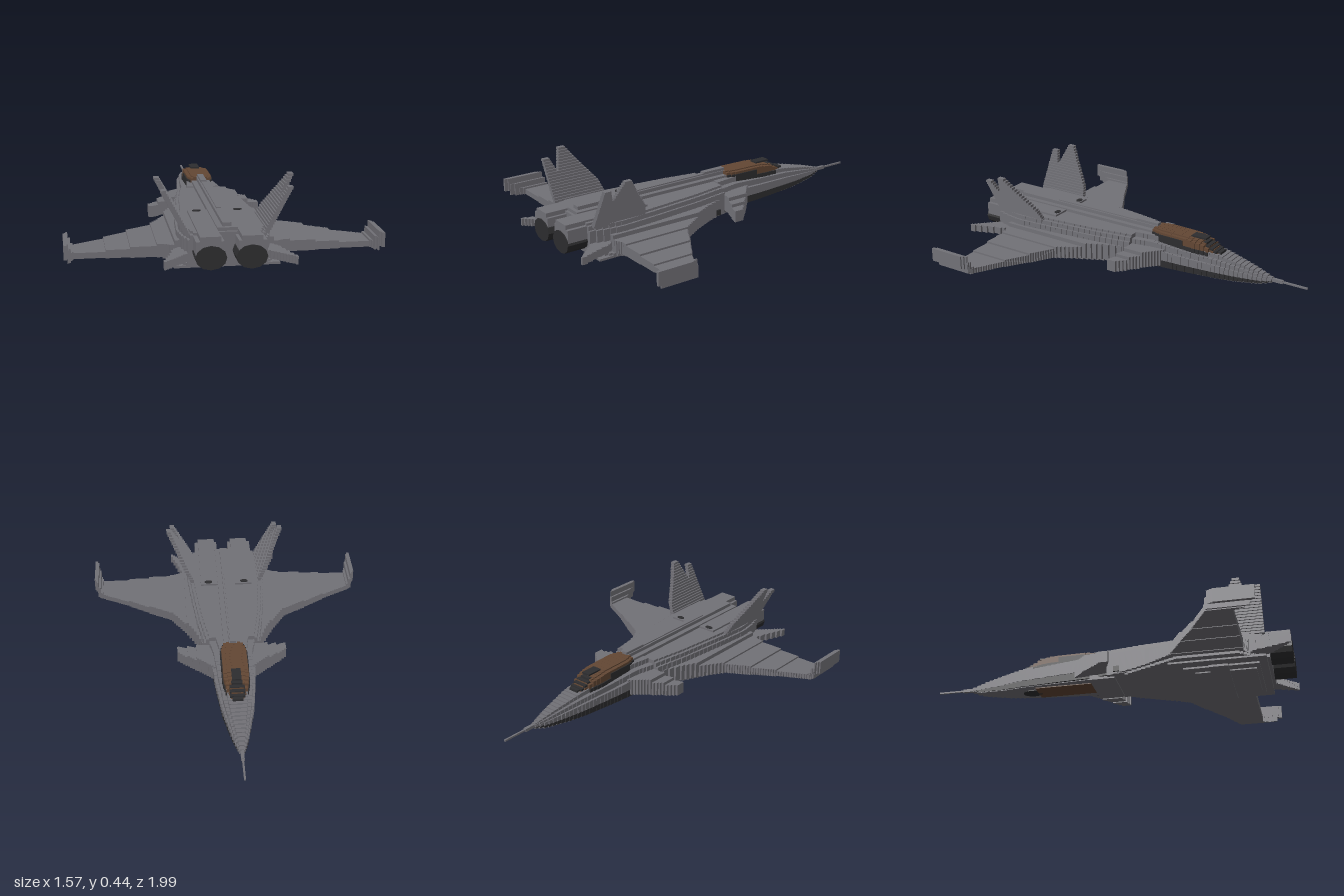
import * as THREE from 'three';

const mat = (name, color) => {
  const m = new THREE.MeshStandardMaterial({ color, flatShading: true });
  m.name = name;
  return m;
};

// Straight-line interpolation through [position, value] points
const curve = (pts) => (t) => {
  if (t <= pts[0][0]) return pts[0][1];
  for (let i = 1; i < pts.length; i++) {
    const [a, va] = pts[i - 1], [b, vb] = pts[i];
    if (t <= b) return va + ((vb - va) * (t - a)) / (b - a);
  }
  return pts[pts.length - 1][1];
};

export function createModel() {
  const grey = mat('airframe grey', 0x727177);
  const dark = mat('dark trim', 0x2d2d2f);
  const brown = mat('tinted canopy', 0x634734);
  const root = new THREE.Group();
  root.name = 'jetAircraft';

  const part = (name) => {
    const g = new THREE.Group();
    g.name = name;
    root.add(g);
    return g;
  };
  const box = (parent, name, m, x0, x1, y0, y1, z0, z1) => {
    const mesh = new THREE.Mesh(new THREE.BoxGeometry(x1 - x0, y1 - y0, z1 - z0), m);
    mesh.position.set((x0 + x1) / 2, (y0 + y1) / 2, (z0 + z1) / 2);
    mesh.name = name;
    parent.add(mesh);
  };
  // Plate with a stair-stepped outline between a leading and a trailing edge
  const slab = (parent, name, m, side, x0, x1, y0, y1, lead, trail, step = 0.0125) => {
    const n = Math.max(1, Math.round((x1 - x0) / step));
    const front = [], back = [];
    for (let i = 0; i < n; i++) {
      const a = x0 + ((x1 - x0) * i) / n, b = x0 + ((x1 - x0) * (i + 1)) / n, c = (a + b) / 2;
      for (const x of [a, b]) {
        front.push(new THREE.Vector2(side * x, -lead(c)));
        back.unshift(new THREE.Vector2(side * x, -trail(c)));
      }
    }
    const geo = new THREE.ExtrudeGeometry(new THREE.Shape([...front, ...back]), { depth: y1 - y0, bevelEnabled: false });
    geo.rotateX(-Math.PI / 2).translate(0, y0, 0);
    const mesh = new THREE.Mesh(geo, m);
    mesh.name = name;
    parent.add(mesh);
  };
  const flat = (v) => () => v;

  // Nose and forward fuselage: stepped slices, with a dark lower flank
  const nose = part('forwardFuselage');
  const halfW = curve([[-0.8, 0.014], [-0.7, 0.042], [-0.6, 0.063], [-0.5, 0.085], [-0.3, 0.108], [-0.1, 0.125], [0, 0.15]]);
  const topY = curve([[-0.8, 0.102], [-0.7, 0.13], [-0.6, 0.152], [-0.5, 0.172], [-0.35, 0.185], [-0.12, 0.205], [0, 0.205]]);
  const botY = curve([[-0.8, 0.08], [-0.74, 0.062], [-0.6, 0.05], [-0.3, 0.046], [0, 0.044]]);
  const dz = 0.025;
  for (let i = 0; i < 32; i++) {
    const z = -0.8 + i * dz, c = z + dz / 2;
    const w = halfW(c), t = topY(c), b = botY(c), h = t - b, mid = b + h * 0.3;
    box(nose, 'lowerFlank', dark, -w * 0.96, w * 0.96, b + 0.004, mid, z, z + dz);
    box(nose, 'belly', grey, -w * 0.88, w * 0.88, b, b + 0.01, z, z + dz);
    box(nose, 'flank', grey, -w, w, mid, b + h * 0.62, z, z + dz);
    box(nose, 'shoulder', grey, -w * 0.85, w * 0.85, mid, b + h * 0.83, z, z + dz);
    box(nose, 'deck', grey, -w * 0.6, w * 0.6, mid, t, z, z + dz);
  }
  box(nose, 'pitotBase', grey, -0.009, 0.009, 0.083, 0.1, -0.86, -0.79);
  box(nose, 'pitotProbe', grey, -0.005, 0.005, 0.087, 0.096, -1, -0.85);

  // Canopy: stepped glass over a dark sill
  const canopy = part('canopy');
  const glassTop = curve([[-0.48, 0.178], [-0.4, 0.218], [-0.32, 0.232], [-0.09, 0.236]]);
  const glassW = curve([[-0.49, 0.03], [-0.43, 0.055], [-0.36, 0.068], [-0.14, 0.068], [-0.09, 0.05]]);
  for (let i = 0; i < 16; i++) {
    const z = -0.49 + i * 0.025, c = z + 0.0125, w = glassW(c), t = glassTop(c);
    const sill = 0.16 + (t - 0.16) * (c < -0.28 ? 0.35 : 0.75);
    box(canopy, 'canopySill', dark, -w - 0.006, w + 0.006, 0.155, sill, z, z + 0.025);
    box(canopy, 'canopyGlass', brown, -w, w, sill - 0.01, t - 0.006, z, z + 0.025);
    box(canopy, 'canopyCrown', brown, -w * 0.7, w * 0.7, sill - 0.01, t, z, z + 0.025);
  }
  const oval = (name, m, x, y, z, rx, rz) => {
    const mesh = new THREE.Mesh(new THREE.CylinderGeometry(1, 1, 0.006, 16), m);
    mesh.scale.set(rx, 1, rz);
    mesh.position.set(x, y, z);
    mesh.name = name;
    root.add(mesh);
  };
  box(canopy, 'instrumentCover', dark, -0.025, 0.025, 0.23, 0.239, -0.41, -0.32);
  for (let i = 0; i < 5; i++) {
    const z = -0.505 + i * 0.022, w = [0.028, 0.04, 0.042, 0.04, 0.03][i];
    box(canopy, 'windscreen', dark, -w, w, 0.165, glassTop(z + 0.011) + 0.004, z, z + 0.022);
  }
  // Matching panels under the nose
  box(root, 'bellyPanel', brown, -0.065, 0.065, 0.041, 0.046, -0.42, -0.1);
  oval('bellyWindow', dark, 0, 0.044, -0.45, 0.04, 0.055);

  // Main fuselage: stepped sides narrowing toward the flat deck
  const body = part('mainFuselage');
  const bodyW = curve([[0, 0.152], [0.2, 0.185], [0.5, 0.215], [0.7, 0.23], [0.8, 0.215], [0.875, 0.19]]);
  for (let i = 0; i < 25; i++) {
    const z = i * 0.035, w = bodyW(z + 0.0175);
    box(body, 'hull', grey, -w, w, 0.042, 0.165, z, z + 0.035);
    box(body, 'upperHull', grey, -w + 0.012, w - 0.012, 0.16, 0.188, z, z + 0.035);
    box(body, 'deck', grey, -w + 0.028, w - 0.028, 0.18, 0.2, z, z + 0.035);
  }
  box(body, 'spineBase', grey, -0.05, 0.05, 0.19, 0.217, -0.1, 0.86);
  box(body, 'spine', grey, -0.022, 0.022, 0.2, 0.236, -0.1, 0.84);
  box(body, 'spineRidge', grey, -0.012, 0.012, 0.21, 0.242, 0.04, 0.58);
  box(body, 'spineHump', grey, -0.016, 0.016, 0.21, 0.25, -0.1, 0.04);
  box(body, 'intakeLip', grey, -0.13, 0.13, 0.034, 0.06, -0.1, 0.04);

  // Stepped belly fairing
  const belly = part('bellyFairing');
  [[0.3, 0.032, 0.046, 0.1, 0.86], [0.26, 0.022, 0.034, 0.35, 0.86], [0.2, 0.012, 0.024, 0.42, 0.82],
    [0.23, 0, 0.012, 0.56, 0.66], [0.15, 0.005, 0.015, 0.48, 0.8]].forEach(([w, y0, y1, z0, z1], i) => {
    if (i === 0) for (const s of [-1, 1]) {
      slab(belly, 'bellyStep', grey, s, 0, 0.3, y0, y1, curve([[0.16, z0], [0.3, 0.4]]), curve([[0.2, z1], [0.3, 0.72]]));
    } else box(belly, 'bellyStep', grey, -w, w, y0, y1, z0, z1);
  });

  for (const s of [-1, 1]) {
    const label = s > 0 ? 'left' : 'right';
    const bx = (g, n, m, x0, x1, ...r) => box(g, n, m, Math.min(s * x0, s * x1), Math.max(s * x0, s * x1), ...r);

    // Wing: bands that thin toward the tip, swept leading edge
    const wing = part(label + 'Wing');
    const lead = curve([[0.16, 0.04], [0.2, 0.15], [0.25, 0.25], [0.33, 0.375], [0.46, 0.45], [0.58, 0.525], [0.73, 0.605], [0.76, 0.62], [0.785, 0.67]]);
    const trail = curve([[0.26, 0.77], [0.3, 0.75], [0.74, 0.75]]);
    [[0.14, 0.245, 0.045, 0.135], [0.245, 0.33, 0.046, 0.113], [0.33, 0.46, 0.049, 0.104], [0.46, 0.58, 0.052, 0.094], [0.58, 0.745, 0.055, 0.085]]
      .forEach(([a, b, y0, y1]) => slab(wing, 'wingBand', grey, s, a, b, y0, y1, lead, trail));
    // Dark strip under the wing root extension
    bx(wing, 'rootStrip', dark, 0.1, 0.176, 0.052, 0.082, 0.04, 0.3);

    // Upturned wing tip
    const tipTrail = curve([[0.74, 0.76], [0.75, 0.8], [0.77, 0.86]]);
    [[0.735, 0.755, 0.055, 0.095], [0.748, 0.765, 0.06, 0.125], [0.76, 0.783, 0.085, 0.158]]
      .forEach(([a, b, y0, y1]) => slab(wing, 'wingTip', grey, s, a, b, y0, y1, lead, tipTrail, 0.008));

    // Canard
    const canard = part(label + 'Canard');
    const cLead = curve([[0.1, -0.2], [0.2, -0.11], [0.3, -0.01]]);
    const cTrail = curve([[0.17, 0], [0.21, 0.01], [0.3, 0.042]]);
    [[0.1, 0.2, 0.06, 0.15], [0.2, 0.25, 0.055, 0.13], [0.25, 0.305, 0.05, 0.113]]
      .forEach(([a, b, y0, y1]) => slab(canard, 'canardBand', grey, s, a, b, y0, y1, cLead, cTrail));

    // Canted tail fin: stacked layers with a notched rear peak
    const fin = part(label + 'TailFin');
    const finLead = curve([[0.18, 0.55], [0.245, 0.57], [0.36, 0.66], [0.445, 0.72]]);
    for (let i = 0; i < 20; i++) {
      const y = 0.18 + i * 0.01325, x = 0.19 + (y - 0.18) * 0.535;
      const layer = (z0, z1) => bx(fin, 'finLayer', grey, x - 0.009, x + 0.017, y, y + 0.01325, z0, z1);
      if (y < 0.335) layer(finLead(y), 0.855);
      else {
        layer(finLead(y), 0.785 - (y - 0.335) * 0.35);
        if (y < 0.395) layer(0.795 + (y - 0.335) * 0.4, 0.855);
      }
    }

    // Horizontal stabiliser
    const stab = part(label + 'Stabiliser');
    slab(stab, 'stabiliserPlate', grey, s, 0.17, 0.32, 0.06, 0.1, curve([[0.2, 0.74], [0.26, 0.8], [0.28, 0.87], [0.32, 0.98]]), curve([[0.19, 0.87], [0.32, 1.0]]));

    // Engine: grey cowl above a dark nozzle
    const engine = part(label + 'Engine');
    bx(engine, 'cowl', grey, 0.035, 0.17, 0.1, 0.187, 0.86, 0.985);
    bx(engine, 'cowlTop', grey, 0.05, 0.15, 0.18, 0.21, 0.5, 0.985);
    const nozzle = new THREE.Mesh(new THREE.CylinderGeometry(0.076, 0.076, 0.16, 12), dark);
    nozzle.name = 'nozzle';
    nozzle.rotation.x = Math.PI / 2;
    nozzle.scale.z = 0.78;
    nozzle.position.set(s * 0.098, 0.107, 0.91);
    engine.add(nozzle);

    // Small vents on deck and belly
    oval(label + 'DeckVent', dark, s * 0.105, 0.211, 0.52, 0.022, 0.014);
    oval(label + 'BellyVent', dark, s * 0.105, 0.011, 0.53, 0.022, 0.014);
  }
  return root;
}
